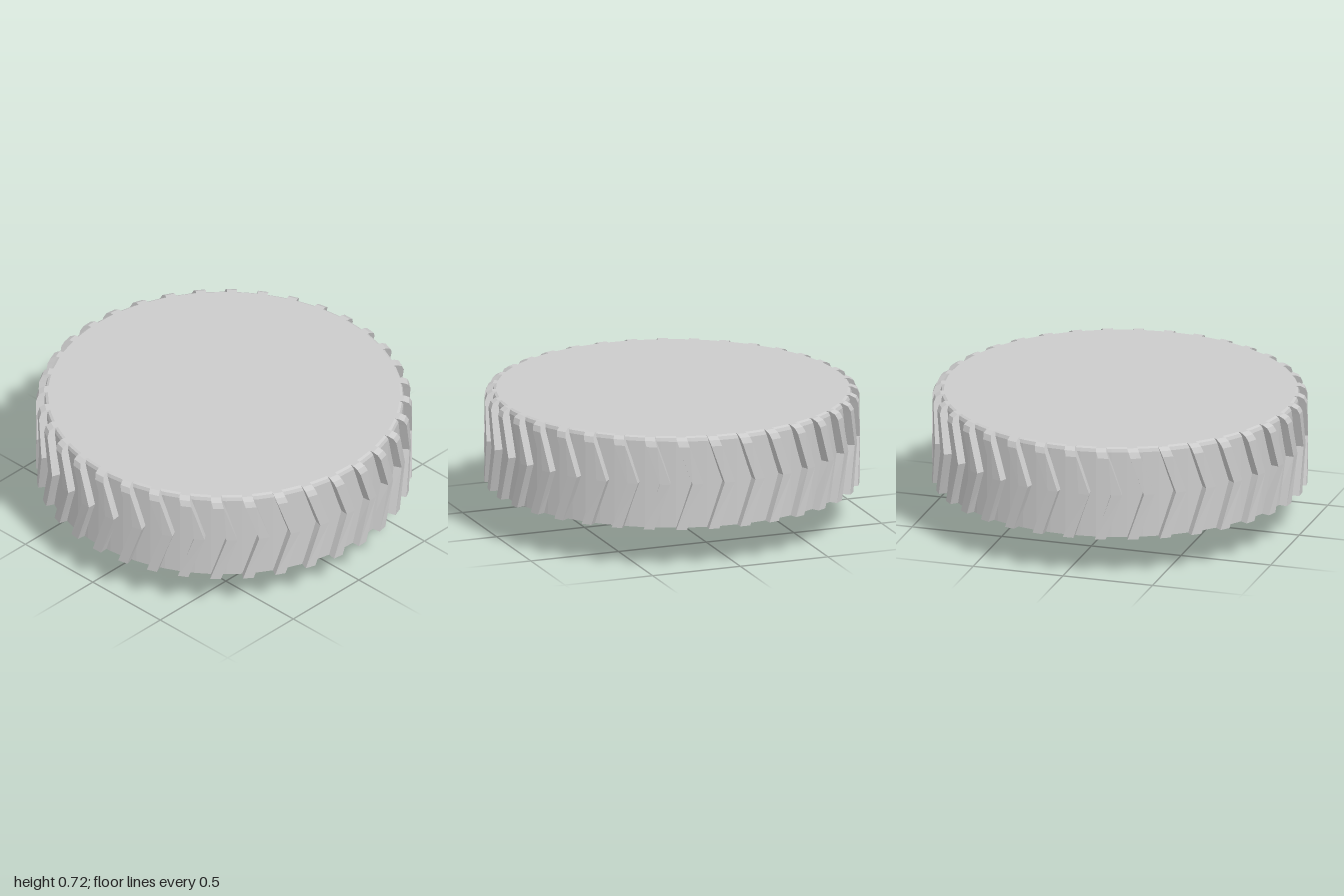
import * as THREE from 'three';

const BOTTOM = 0.22, TOP = 0.72, MID = 0.47;
const LUGS = 36;

const material = new THREE.MeshStandardMaterial({ color: 0xcccccc, flatShading: true });

function addMesh(parent, name, geometry) {
  const mesh = new THREE.Mesh(geometry, material);
  mesh.name = name;
  parent.add(mesh);
  return mesh;
}

function lathe(points, segments) {
  return new THREE.LatheGeometry(points.map(([r, y]) => new THREE.Vector2(r, y)), segments);
}

// One chevron tread bar, swept through rows of [height, outer radius]
function lugGeometry() {
  const rows = [[BOTTOM, 1], [MID, 1], [0.675, 0.998], [0.705, 0.985], [TOP, 0.957]];
  const inner = 0.93, width = 3.3, sweep = 5;
  const positions = [];
  for (const [y, outer] of rows) {
    const left = sweep * (1 - Math.abs(y - MID) / (TOP - MID));
    const right = left + width;
    for (const [r, deg] of [[inner, left], [outer, left], [outer, right], [inner, right]]) {
      const a = THREE.MathUtils.degToRad(deg);
      positions.push(r * Math.sin(a), y, r * Math.cos(a));
    }
  }
  const index = [];
  const quad = (a, b, c, d) => index.push(a, b, c, a, c, d);
  for (let row = 0; row < rows.length - 1; row++) {
    for (let i = 0; i < 4; i++) {
      const a = row * 4 + i, b = row * 4 + (i + 1) % 4;
      quad(a, b, b + 4, a + 4);
    }
  }
  const last = (rows.length - 1) * 4;
  quad(3, 2, 1, 0);
  quad(last, last + 1, last + 2, last + 3);
  const geometry = new THREE.BufferGeometry();
  geometry.setAttribute('position', new THREE.Float32BufferAttribute(positions, 3));
  geometry.setIndex(index);
  const flat = geometry.toNonIndexed();
  flat.computeVertexNormals();
  return flat;
}

export function createModel() {
  const group = new THREE.Group();
  group.name = 'wheel';

  // Tyre body: lower rim, outer wall, small bevel and closed top
  addMesh(group, 'tyreBody', lathe([
    [0.865, BOTTOM], [0.955, BOTTOM], [0.955, 0.695], [0.948, 0.713], [0.935, TOP], [0, TOP],
  ], 72));

  // Hollow underside
  addMesh(group, 'innerHollow', lathe([[0, 0.64], [0.868, 0.64], [0.868, BOTTOM]], 36));

  // Axle hanging from the hollow's ceiling
  addMesh(group, 'axle', new THREE.CylinderGeometry(0.062, 0.062, 0.66, 16)).position.y = 0.33;

  // Ring of tread bars
  const tread = new THREE.Group();
  tread.name = 'tread';
  const lug = lugGeometry();
  for (let i = 0; i < LUGS; i++) {
    addMesh(tread, 'treadBar', lug).rotation.y = (i / LUGS) * Math.PI * 2;
  }
  group.add(tread);

  return group;
}
